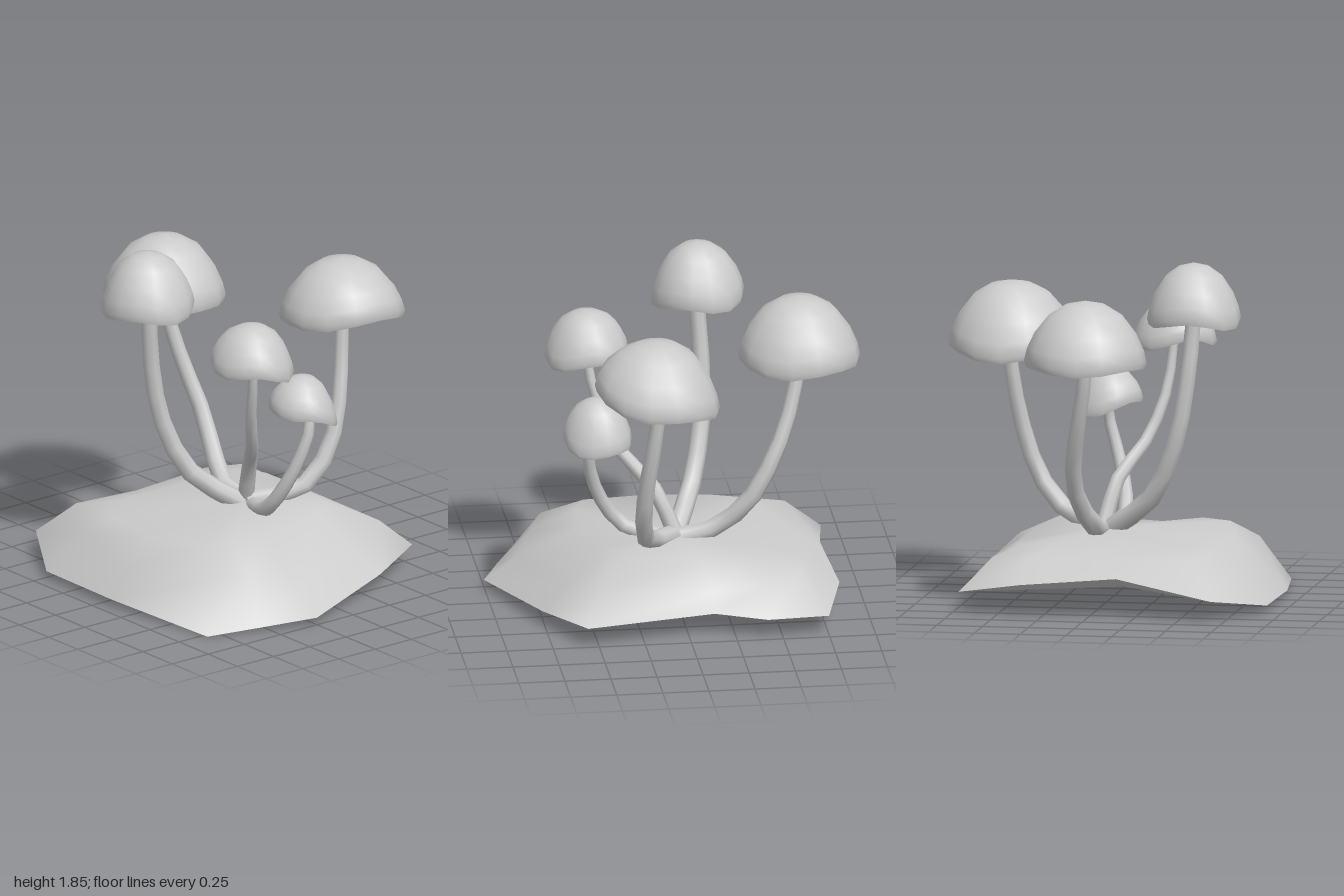
import * as THREE from 'three';
import { toCreasedNormals } from 'three/addons/utils/BufferGeometryUtils.js';

const material = new THREE.MeshStandardMaterial({ color: 0xcccccc, side: THREE.DoubleSide });

function addMesh(parent, name, geometry) {
  const mesh = new THREE.Mesh(geometry, material);
  mesh.name = name;
  parent.add(mesh);
}

// Irregular mound: loops from the outer edge up to the top, counterclockwise from the front
const edge = [
  [-0.25, 0.04, 1.0], [0.38, 0.08, 0.76], [0.76, 0.11, 0.56], [0.64, 0.12, -0.14], [0.73, 0.105, -0.42],
  [0.72, 0.11, -0.75], [0.37, 0.17, -0.85], [-0.15, 0.21, -0.81], [-0.68, 0.11, -0.88],
  [-0.92, 0.04, -0.49], [-0.93, 0.04, 0.08], [-0.83, 0.0, 0.78], [-0.55, 0.02, 0.89],
];
const slope = [
  [-0.25, 0.16, 0.83], [0.3, 0.18, 0.64], [0.6, 0.26, 0.48], [0.55, 0.21, -0.15], [0.6, 0.25, -0.42],
  [0.55, 0.29, -0.62], [0.33, 0.3, -0.68], [-0.17, 0.29, -0.65], [-0.57, 0.3, -0.67],
  [-0.74, 0.25, -0.39], [-0.81, 0.18, 0.07], [-0.68, 0.25, 0.64], [-0.48, 0.23, 0.72],
];
const shoulder = [
  [-0.2, 0.34, 0.47], [0.22, 0.37, 0.42], [0.34, 0.385, 0.34], [0.44, 0.355, -0.1], [0.47, 0.335, -0.33],
  [0.44, 0.33, -0.48], [0.25, 0.34, -0.5], [-0.12, 0.335, -0.48], [-0.46, 0.34, -0.48],
  [-0.63, 0.33, -0.28], [-0.66, 0.335, 0.05], [-0.56, 0.36, 0.42], [-0.4, 0.365, 0.48],
];

function moundGeometry() {
  const rings = [edge, slope, shoulder];
  const n = edge.length;
  const points = [...rings.flat(2), 0.05, 0.375, 0, -0.05, 0.05, 0];
  const top = rings.length * n;
  const index = [];
  for (let i = 0; i < n; i++) {
    const j = (i + 1) % n;
    for (let k = 0; k < rings.length - 1; k++) {
      const a = k * n + i, b = k * n + j;
      index.push(a, b, b + n, a, b + n, a + n);
    }
    index.push(top - n + i, top - n + j, top);
    index.push(j, i, top + 1);
  }
  const geometry = new THREE.BufferGeometry();
  geometry.setAttribute('position', new THREE.Float32BufferAttribute(points, 3));
  geometry.setIndex(index);
  return toCreasedNormals(geometry, 1.5);
}

// Curved stem that narrows from base to cap
function stemGeometry(path, baseRadius, topRadius) {
  const steps = 9, sides = 8;
  const curve = new THREE.CatmullRomCurve3(path.map((p) => new THREE.Vector3(...p)));
  const geometry = new THREE.TubeGeometry(curve, steps, 1, sides);
  const pos = geometry.attributes.position;
  const v = new THREE.Vector3();
  for (let i = 0; i < pos.count; i++) {
    const t = Math.floor(i / (sides + 1)) / steps;
    const c = curve.getPointAt(t);
    v.fromBufferAttribute(pos, i).sub(c);
    v.multiplyScalar(THREE.MathUtils.lerp(baseRadius, topRadius, t)).add(c);
    pos.setXYZ(i, v.x, v.y, v.z);
  }
  return geometry;
}

// Hollow cap: [radius, height] from inner crown down to the rim, then up the outer dome
const capProfile = [
  [0, 0.48], [0.35, 0.44], [0.65, 0.32], [0.86, 0.13], [0.97, 0],
  [1, 0.1], [0.95, 0.28], [0.83, 0.52], [0.6, 0.79], [0.33, 0.94], [0, 1],
];

function capGeometry(radius, height, [tiltX, tiltZ], wave, phase) {
  const profile = capProfile.map(([r, h]) => new THREE.Vector2(r * radius, h * height));
  const geometry = new THREE.LatheGeometry(profile, 14);
  const pos = geometry.attributes.position;
  for (let i = 0; i < pos.count; i++) {
    const x = pos.getX(i) / radius, z = pos.getZ(i) / radius;
    const r2 = x * x + z * z;
    const ripple = wave * Math.cos(3 * Math.atan2(x, z) + phase) * r2 * r2;
    pos.setY(i, pos.getY(i) + (tiltX * x + tiltZ * z) * r2 + ripple);
  }
  return toCreasedNormals(geometry, 1.3);
}

const mushrooms = [
  { name: 'backMushroom', cap: [0.04, 1.335, -0.673], radius: 0.331, height: 0.365, tilt: [0, 0], wave: 0.015, phase: 0,
    base: 0.055, top: 0.035,
    path: [[0.07, 0.36, -0.03], [0.07, 0.4, -0.2], [0.13, 0.56, -0.38], [0.14, 0.75, -0.49], [0.1, 0.98, -0.59], [0.05, 1.25, -0.66], [0.03, 1.53, -0.68]] },
  { name: 'tallMushroom', cap: [-0.467, 1.52, -0.185], radius: 0.253, height: 0.33, tilt: [0.005, -0.005], wave: 0.02, phase: 3,
    base: 0.055, top: 0.042,
    path: [[0.03, 0.36, 0], [-0.22, 0.55, -0.12], [-0.36, 0.85, -0.19], [-0.43, 1.2, -0.2], [-0.46, 1.5, -0.18], [-0.47, 1.7, -0.18]] },
  { name: 'wideMushroom', cap: [0.592, 1.335, 0.165], radius: 0.34, height: 0.345, tilt: [-0.015, 0.06], wave: 0.02, phase: 0,
    base: 0.055, top: 0.035,
    path: [[0.06, 0.37, 0.02], [0.29, 0.43, 0.18], [0.44, 0.6, 0.22], [0.53, 0.85, 0.21], [0.585, 1.15, 0.17], [0.61, 1.52, 0.15]] },
  { name: 'frontMushroom', cap: [-0.252, 1.31, 0.445], radius: 0.226, height: 0.255, tilt: [-0.02, -0.02], wave: 0.025, phase: 1.5,
    base: 0.045, top: 0.022,
    path: [[0.06, 0.37, 0], [0.0, 0.62, 0.11], [-0.12, 0.8, 0.28], [-0.2, 1.0, 0.37], [-0.235, 1.2, 0.43], [-0.25, 1.45, 0.46]] },
  { name: 'smallMushroom', cap: [0.11, 0.95, 0.43], radius: 0.187, height: 0.24, tilt: [-0.055, 0], wave: 0.015, phase: 0.6,
    base: 0.045, top: 0.028,
    path: [[0.05, 0.36, 0.08], [-0.01, 0.4, 0.26], [0.01, 0.54, 0.38], [0.07, 0.74, 0.46], [0.12, 0.92, 0.48], [0.12, 1.07, 0.44]] },
];

export function createModel() {
  const model = new THREE.Group();
  model.name = 'mushroomCluster';
  addMesh(model, 'mound', moundGeometry());
  for (const m of mushrooms) {
    const group = new THREE.Group();
    group.name = m.name;
    addMesh(group, 'stem', stemGeometry(m.path, m.base, m.top));
    addMesh(group, 'cap', capGeometry(m.radius, m.height, m.tilt, m.wave, m.phase).translate(...m.cap));
    model.add(group);
  }
  return model;
}
